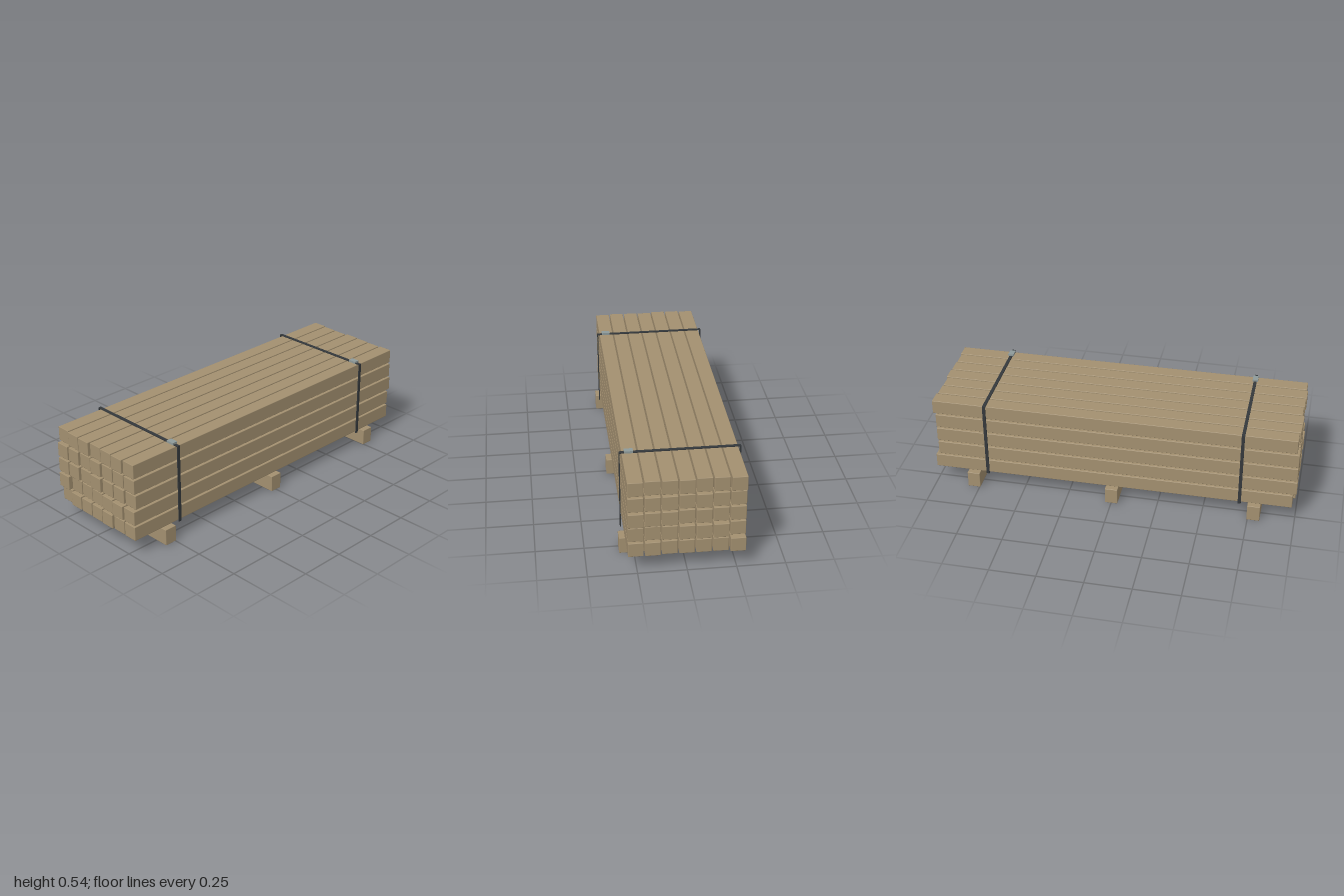
import * as THREE from 'three';
import { RoundedBoxGeometry } from 'three/addons/geometries/RoundedBoxGeometry.js';

const wood = new THREE.MeshStandardMaterial({ color: 0xa39070 });
const steel = new THREE.MeshStandardMaterial({ color: 0x34383b });
const clip = new THREE.MeshStandardMaterial({ color: 0x8e9a9a });

function add(parent, name, geometry, material, x, y, z) {
  const mesh = new THREE.Mesh(geometry, material);
  mesh.name = name;
  mesh.position.set(x, y, z);
  parent.add(mesh);
  return mesh;
}

// Small seeded generator for the uneven beam ends
function seeded(seed) {
  return () => (seed = (seed * 16807) % 2147483647) / 2147483647;
}

export function createModel() {
  const model = new THREE.Group();
  model.name = 'timberStack';
  const random = seeded(4711);

  // Stacked beams: 7 across, 5 high, ends slightly staggered
  const beams = new THREE.Group();
  beams.name = 'beams';
  model.add(beams);
  const size = 0.078, pitchX = 0.0853, pitchY = 0.0878, length = 1.98;
  const beamGeometry = new RoundedBoxGeometry(size, size, length, 1, 0.003);
  for (let row = 0; row < 5; row++) {
    for (let col = 0; col < 7; col++) {
      const shift = row === 1 && col === 0 ? 0.01 : row === 2 && col === 6 ? -0.01 : (random() - 0.5) * 0.02;
      add(beams, 'beam', beamGeometry, wood, (col - 3) * pitchX, 0.131 + row * pitchY, shift);
    }
  }

  // Cross bearers underneath
  const bearerGeometry = new RoundedBoxGeometry(0.65, 0.091, 0.07, 1, 0.003);
  for (const z of [-0.78, 0, 0.78]) add(model, 'bearer', bearerGeometry, wood, 0, 0.0455, z);

  // Steel straps over the top and down both sides, each with a buckle
  const topY = 0.5255, bottomY = 0.09, sideX = 0.307;
  for (const z of [-0.7, 0.7]) {
    const strap = new THREE.Group();
    strap.name = 'strap';
    strap.position.z = z;
    model.add(strap);
    add(strap, 'strapTop', new THREE.BoxGeometry(0.618, 0.005, 0.017), steel, 0, topY, 0);
    for (const side of [-1, 1]) {
      add(strap, 'strapSide', new THREE.BoxGeometry(0.005, topY - bottomY, 0.017), steel,
        side * sideX, (topY + bottomY) / 2, 0);
    }
    add(strap, 'buckle', new THREE.BoxGeometry(0.045, 0.012, 0.03), clip, 0.26, 0.532, 0);
  }
  return model;
}
